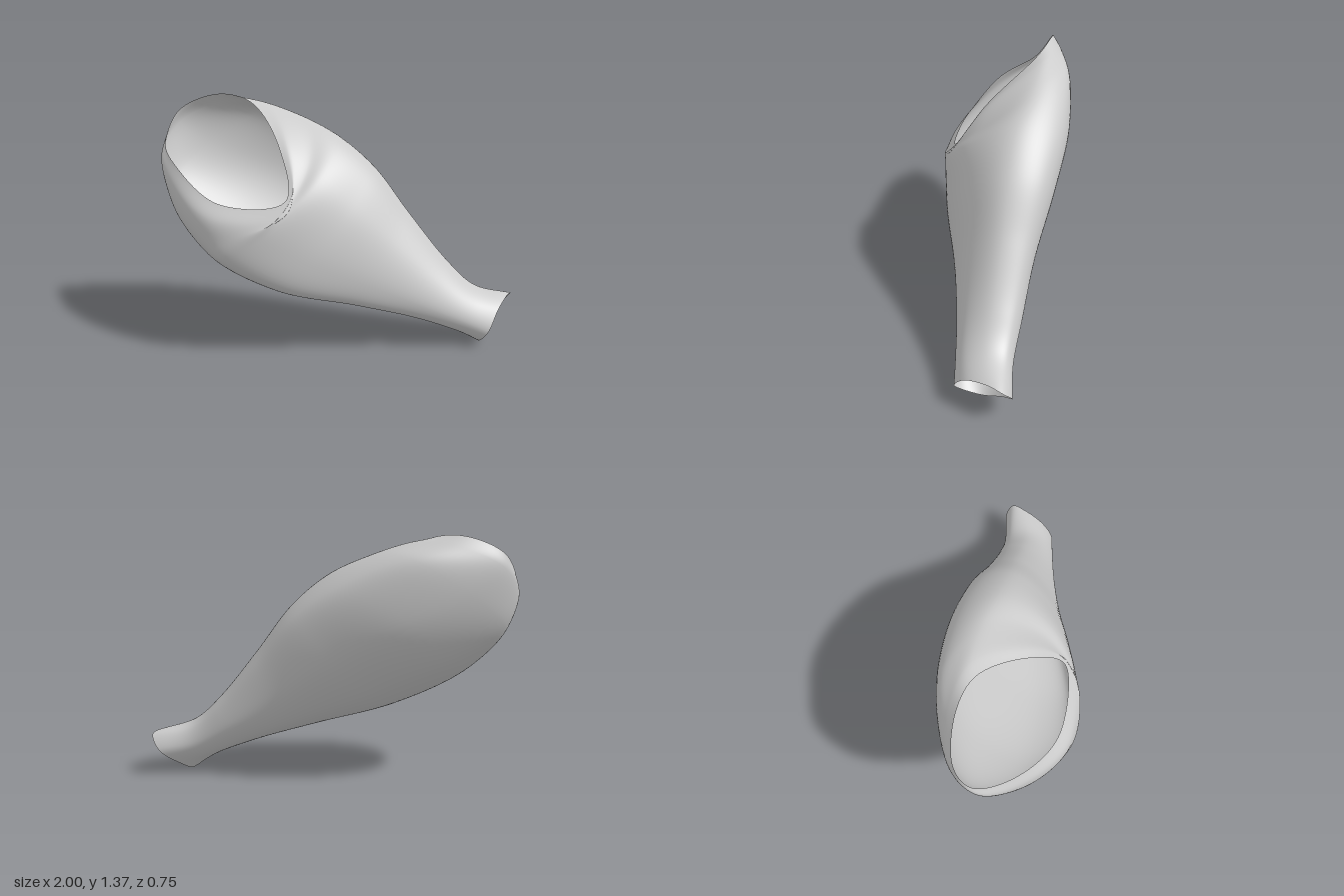
import * as THREE from 'three';

const vectors = (n) => n.map((p) => new THREE.Vector3(...p));

// Rounded section through its top, front, bottom and back points
function roundSection(...points) {
  const q = vectors(points);
  const c = q.reduce((s, p) => s.add(p), new THREE.Vector3()).multiplyScalar(0.25);
  return q.flatMap((p, i) => {
    const next = q[(i + 1) % 4];
    const diagonal = p.clone().add(next).addScaledVector(c, -2).multiplyScalar(0.72).add(c);
    return [p, diagonal];
  });
}

// All loops run top, front, bottom, back
const shoulderRim = vectors([
  [-0.5, 1.335, -0.16], [-0.3, 1.12, 0.09], [-0.25, 0.88, 0.26], [-0.6, 0.86, 0.27],
  [-0.87, 1.02, 0.1], [-0.98, 1.12, -0.1], [-0.92, 1.28, -0.2], [-0.7, 1.37, -0.22],
]);
const shoulderLip = vectors([
  [-0.42, 1.325, -0.19], [-0.255, 1.12, 0.09], [-0.24, 0.82, 0.3], [-0.62, 0.78, 0.325],
  [-0.9, 0.93, 0.12], [-1.0, 1.05, -0.08], [-0.91, 1.22, -0.23], [-0.66, 1.32, -0.27],
]);
const cuff = vectors([
  [0.97, 0.243, -0.13], [0.91, 0.2, 0], [0.86, 0.1, 0.068], [0.82, 0.035, 0.035],
  [0.81, 0, -0.07], [0.86, 0.06, -0.18], [0.95, 0.15, -0.25], [1.0, 0.23, -0.21],
]);
const sections = [
  shoulderRim,
  shoulderLip,
  roundSection([-0.22, 1.255, -0.17], [-0.32, 0.77, 0.34], [-0.87, 0.76, 0.13], [-0.75, 1.08, -0.3]),
  roundSection([0, 1.15, -0.12], [-0.33, 0.72, 0.345], [-0.72, 0.595, 0.12], [-0.42, 0.92, -0.36]),
  roundSection([0.2, 0.98, -0.1], [-0.1, 0.56, 0.29], [-0.33, 0.39, 0.12], [-0.05, 0.72, -0.325]),
  roundSection([0.4, 0.72, -0.1], [0.23, 0.4, 0.185], [0.1, 0.275, 0.04], [0.27, 0.5, -0.265]),
  roundSection([0.62, 0.45, -0.09], [0.51, 0.26, 0.12], [0.45, 0.175, -0.02], [0.54, 0.31, -0.24]),
  roundSection([0.78, 0.305, -0.09], [0.73, 0.16, 0.085], [0.68, 0.085, -0.05], [0.75, 0.19, -0.225]),
  cuff,
];

// Smooth surface through the sections, open at both ends
function loft(loops, around, along) {
  const rings = loops.map((l) => new THREE.CatmullRomCurve3(l, true, 'centripetal'));
  const positions = [];
  const index = [];
  for (let i = 0; i < around; i++) {
    // getPoint keeps matching control points aligned from ring to ring
    const spine = new THREE.CatmullRomCurve3(rings.map((r) => r.getPoint(i / around)), false, 'centripetal');
    for (let j = 0; j <= along; j++) positions.push(...spine.getPoint(j / along).toArray());
  }
  for (let i = 0; i < around; i++) {
    for (let j = 0; j < along; j++) {
      const a = i * (along + 1) + j;
      const b = ((i + 1) % around) * (along + 1) + j;
      index.push(a, b, a + 1, b, b + 1, a + 1);
    }
  }
  const geometry = new THREE.BufferGeometry();
  geometry.setAttribute('position', new THREE.Float32BufferAttribute(positions, 3));
  geometry.setIndex(index);
  geometry.computeVertexNormals();
  return geometry;
}

export function createModel() {
  const group = new THREE.Group();
  group.name = 'sleeve';
  const geometry = loft(sections, 80, 80);
  // Centre the shell and stand it on the ground
  geometry.computeBoundingBox();
  const { min, max } = geometry.boundingBox;
  geometry.translate(-(min.x + max.x) / 2, -min.y, -(min.z + max.z) / 2);
  const shell = new THREE.Mesh(
    geometry,
    new THREE.MeshStandardMaterial({ color: 0xcccccc, side: THREE.DoubleSide }),
  );
  shell.name = 'sleeveShell';
  group.add(shell);
  return group;
}
